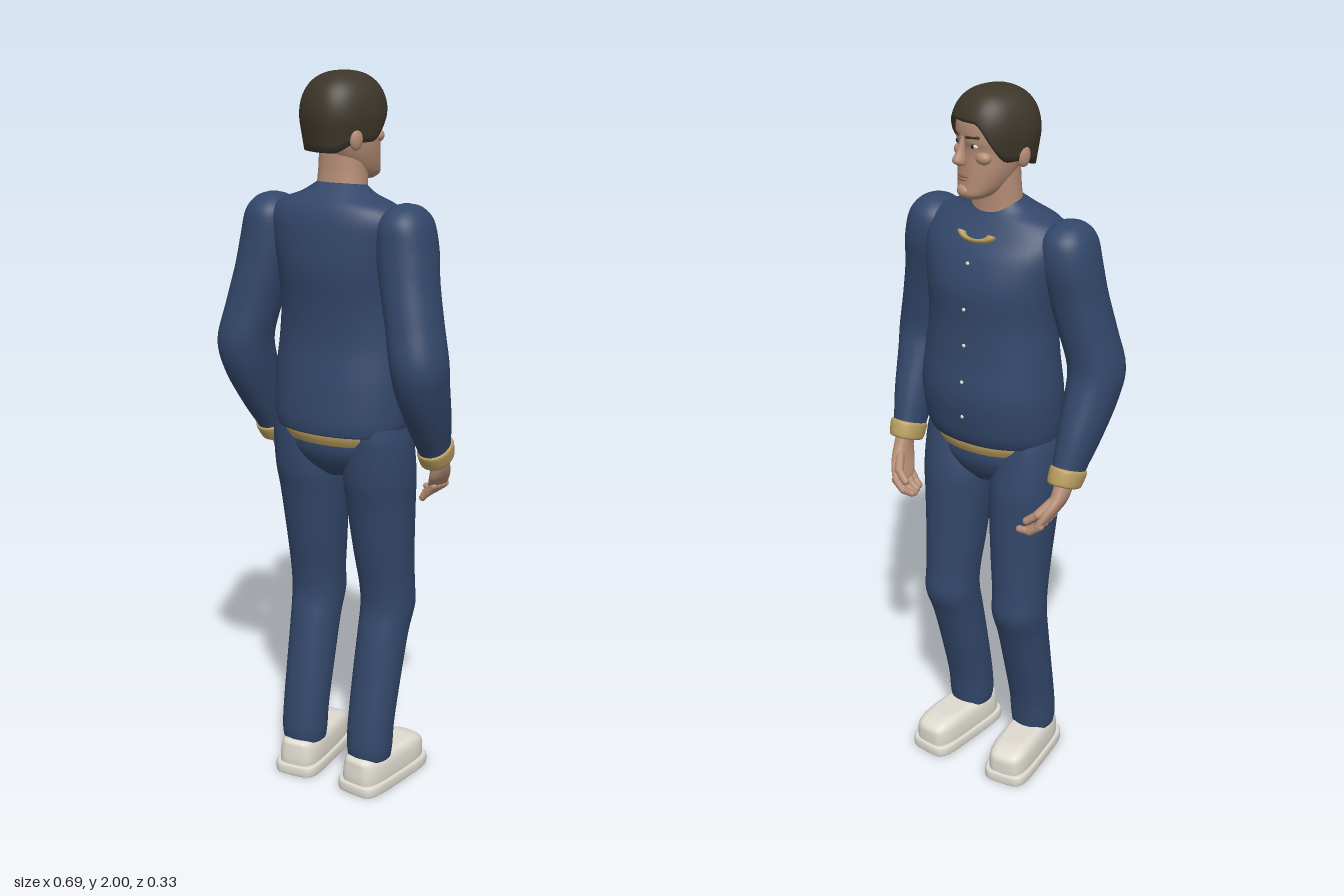
import * as THREE from 'three';

const mat = (name, color, side = THREE.FrontSide) => {
  const m = new THREE.MeshStandardMaterial({ color, side });
  m.name = name;
  return m;
};

// Smooth skin through rows [x, y, z, rx, rz, tilt], listed from top to bottom
function loft(rows, { power = 2.2, segs = 36, steps = 5 } = {}) {
  const fine = [];
  const val = (i, k) => rows[Math.min(Math.max(i, 0), rows.length - 1)][k] ?? 0;
  for (let i = 0; i < rows.length - 1; i++) {
    for (let s = 0; s < steps; s++) {
      const t = s / steps;
      fine.push([0, 1, 2, 3, 4, 5].map((k) => {
        const a = val(i - 1, k), b = val(i, k), c = val(i + 1, k), d = val(i + 2, k);
        return b + 0.5 * t * (c - a + t * (2 * a - 5 * b + 4 * c - d + t * (3 * (b - c) + d - a)));
      }));
    }
  }
  fine.push(rows[rows.length - 1].map((v) => v));
  const first = fine[0], last = fine[fine.length - 1];
  fine.unshift([first[0], first[1], first[2], 0, 0, 0]);
  fine.push([last[0], last[1], last[2], 0, 0, 0]);
  const round = (v) => Math.sign(v) * Math.pow(Math.abs(v), 2 / power);
  return grid(fine.length, segs, (i, a) => {
    const [x, y, z, rx, rz, tilt = 0] = fine[i];
    const dz = rz * round(Math.sin(a));
    return [x + rx * round(Math.cos(a)), y + tilt * dz, z + dz];
  });
}

// Closed rings of points joined into a smooth surface
function grid(rings, segs, point) {
  const pos = [], index = [];
  for (let i = 0; i < rings; i++) {
    for (let j = 0; j < segs; j++) {
      pos.push(...point(i, (j / segs) * Math.PI * 2));
      if (i === rings - 1) continue;
      const a = i * segs + j, b = i * segs + ((j + 1) % segs);
      index.push(a, b, a + segs, b, b + segs, a + segs);
    }
  }
  const g = new THREE.BufferGeometry();
  g.setAttribute('position', new THREE.Float32BufferAttribute(pos, 3));
  g.setIndex(index);
  g.computeVertexNormals();
  return g;
}

// Centred rows from [y, rx, zMin, zMax]
const body = (list) => list.map(([y, rx, a, b]) => [0, y, (a + b) / 2, rx, Math.abs(b - a) / 2]);

export function createModel() {
  const navy = mat('navy cloth', 0x33476a);
  const tan = mat('tan trim', 0xb99d60);
  const skin = mat('skin', 0xb48c75);
  const hairMat = mat('dark brown hair', 0x3d362a, THREE.DoubleSide);
  const white = mat('off white leather', 0xdedad0);
  const dark = mat('dark iris', 0x2a2018);
  const lip = mat('lips', 0x9a6658);

  const model = new THREE.Group();
  model.name = 'standingMan';
  const add = (parent, name, geo, material) => {
    const m = new THREE.Mesh(geo, material);
    m.name = name;
    parent.add(m);
    return m;
  };
  const ball = (parent, name, material, p, s) => {
    const m = add(parent, name, new THREE.SphereGeometry(1, 20, 14), material);
    m.position.set(...p);
    m.scale.set(...s);
    return m;
  };
  const capsule = (parent, name, material, from, to, r) => {
    const a = new THREE.Vector3(...from), b = new THREE.Vector3(...to), d = b.clone().sub(a);
    const m = add(parent, name, new THREE.CapsuleGeometry(r, d.length(), 5, 10), material);
    m.position.copy(a).add(b).multiplyScalar(0.5);
    m.quaternion.setFromUnitVectors(new THREE.Vector3(0, 1, 0), d.normalize());
    return m;
  };

  // Jacket, waist and seat
  add(model, 'jacket', loft(body([
    [1.72, 0.06, -0.025, 0.075], [1.69, 0.105, -0.035, 0.11], [1.665, 0.17, -0.05, 0.13],
    [1.63, 0.2, -0.075, 0.143], [1.58, 0.2, -0.11, 0.15], [1.5, 0.187, -0.135, 0.153],
    [1.4, 0.18, -0.133, 0.14], [1.3, 0.19, -0.14, 0.136], [1.2, 0.2, -0.152, 0.15],
    [1.1, 0.197, -0.138, 0.16], [1.06, 0.188, -0.122, 0.157],
  ]), { segs: 48 }), navy);
  add(model, 'jacketLining', loft(body([
    [1.075, 0.175, -0.118, 0.15], [1.05, 0.172, -0.117, 0.148], [1.028, 0.16, -0.108, 0.138],
  ])), tan);
  add(model, 'trouserSeat', loft(body([
    [1.04, 0.16, -0.1, 0.13], [1.0, 0.165, -0.1, 0.125], [0.96, 0.12, -0.085, 0.105],
    [0.925, 0.04, -0.06, 0.075],
  ])), navy);

  // Collar trim and buttons
  const collar = add(model, 'collarTrim', new THREE.TorusGeometry(0.045, 0.012, 10, 24, Math.PI), tan);
  collar.position.set(0, 1.637, -0.074);
  collar.rotation.set(0.6, 0, Math.PI);
  collar.scale.set(1, 0.45, 1);
  for (const [y, z] of [[1.57, -0.117], [1.45, -0.136], [1.35, -0.137], [1.25, -0.148], [1.15, -0.148]]) {
    ball(model, 'button', white, [0, y, z], [0.005, 0.005, 0.004]);
  }

  // One side of limbs, mirrored for the other
  for (const side of [1, -1]) {
    const limbs = new THREE.Group();
    limbs.name = side > 0 ? 'leftLimbs' : 'rightLimbs';
    limbs.scale.x = side;
    model.add(limbs);

    add(limbs, 'sleeve', loft([
      [0.205, 1.677, 0.04, 0.012, 0.014], [0.205, 1.665, 0.04, 0.042, 0.05], [0.205, 1.63, 0.04, 0.068, 0.08],
      [0.212, 1.56, 0.042, 0.077, 0.086], [0.226, 1.48, 0.055, 0.075, 0.082], [0.25, 1.38, 0.07, 0.073, 0.081],
      [0.272, 1.28, 0.082, 0.073, 0.083, -0.1], [0.272, 1.2, 0.06, 0.066, 0.077, -0.3],
      [0.267, 1.1, 0.01, 0.053, 0.063, -0.4], [0.262, 1.03, -0.025, 0.042, 0.05, -0.4],
      [0.26, 0.99, -0.042, 0.038, 0.045, -0.4],
    ]), navy);
    add(limbs, 'cuff', loft([
      [0.262, 1.022, -0.029, 0.042, 0.05, -0.4], [0.262, 1.015, -0.033, 0.046, 0.054, -0.4],
      [0.26, 0.985, -0.048, 0.043, 0.05, -0.4], [0.26, 0.978, -0.051, 0.038, 0.044, -0.4],
    ]), tan);

    // Hand with curled fingers
    add(limbs, 'palm', loft([
      [0.26, 1.0, -0.045, 0.024, 0.032], [0.26, 0.96, -0.064, 0.022, 0.036],
      [0.25, 0.925, -0.082, 0.02, 0.046], [0.235, 0.895, -0.1, 0.016, 0.046, 0.15],
      [0.226, 0.88, -0.105, 0.01, 0.038, 0.15],
    ]), skin);
    for (let i = 0; i < 4; i++) {
      const z = -0.068 - i * 0.022;
      const y = 0.893 - i * 0.003;
      const knuckle = [0.22 - i * 0.004, y - 0.022, z - 0.004];
      capsule(limbs, 'fingerBase', skin, [0.238, y, z], knuckle, 0.0115);
      capsule(limbs, 'fingerTip', skin, knuckle, [0.202 - i * 0.008, 0.852 + (i === 3 ? 0.01 : 0), z - 0.006], 0.01);
    }
    capsule(limbs, 'thumbBase', skin, [0.25, 0.945, -0.095], [0.228, 0.915, -0.13], 0.013);
    capsule(limbs, 'thumbTip', skin, [0.228, 0.915, -0.13], [0.2, 0.893, -0.14], 0.011);

    // Trouser leg
    add(limbs, 'trouserLeg', loft([
      [0.12, 1.08, 0.02, 0.07, 0.098], [0.118, 1.03, 0.015, 0.083, 0.103], [0.11, 0.93, 0.002, 0.094, 0.108],
      [0.108, 0.85, -0.008, 0.091, 0.1], [0.11, 0.7, -0.023, 0.081, 0.088], [0.114, 0.6, -0.034, 0.075, 0.08],
      [0.115, 0.53, -0.038, 0.074, 0.08], [0.113, 0.45, -0.015, 0.069, 0.074], [0.111, 0.32, 0.016, 0.067, 0.067],
      [0.11, 0.2, 0.042, 0.065, 0.062], [0.11, 0.13, 0.05, 0.064, 0.062], [0.11, 0.095, 0.05, 0.06, 0.058],
    ]), navy);

    // Shoe, toes turned slightly out
    const shoe = new THREE.Group();
    shoe.name = 'shoe';
    shoe.position.set(0.118, 0, -0.014);
    shoe.rotation.y = -0.11;
    limbs.add(shoe);
    add(shoe, 'shoeUpper', loft([
      [0, 0.105, 0.02, 0.038, 0.105], [0, 0.097, 0.01, 0.05, 0.127], [0, 0.08, 0, 0.058, 0.14],
      [0, 0.05, 0, 0.061, 0.143], [0, 0.025, 0, 0.06, 0.142],
    ], { power: 4 }), white);
    add(shoe, 'shoeSole', loft([
      [0, 0.032, 0, 0.064, 0.144], [0, 0.027, 0, 0.069, 0.15], [0, 0.005, 0, 0.069, 0.15], [0, 0, 0, 0.066, 0.147],
    ], { power: 5, steps: 2 }), white);
  }

  // Neck
  add(model, 'neck', loft([
    [0, 1.82, 0.012, 0.064, 0.056], [0, 1.75, 0.015, 0.066, 0.056], [0, 1.7, 0.02, 0.07, 0.058],
    [0, 1.66, 0.025, 0.08, 0.062],
  ]), skin);

  // Head, modelled facing +z then turned
  const head = new THREE.Group();
  head.name = 'head';
  head.position.set(0.004, 0, 0.01);
  head.rotation.y = 2.76;
  model.add(head);
  add(head, 'face', loft(body([
    [1.97, 0.05, -0.06, 0.05], [1.93, 0.083, -0.09, 0.09], [1.88, 0.085, -0.09, 0.096],
    [1.85, 0.082, -0.08, 0.089], [1.8, 0.075, -0.06, 0.093], [1.76, 0.062, -0.03, 0.097],
    [1.735, 0.046, 0, 0.1], [1.722, 0.024, 0.03, 0.086],
  ])), skin);
  add(head, 'nose', loft([
    [0, 1.888, 0.09, 0.007, 0.005], [0, 1.85, 0.099, 0.009, 0.012],
    [0, 1.824, 0.105, 0.015, 0.02], [0, 1.811, 0.097, 0.012, 0.012],
  ], { power: 2, segs: 16 }), skin);
  ball(head, 'upperLip', lip, [0, 1.784, 0.094], [0.022, 0.005, 0.008]);
  ball(head, 'lowerLip', lip, [0, 1.775, 0.094], [0.018, 0.005, 0.009]);
  ball(head, 'chin', skin, [0, 1.744, 0.088], [0.024, 0.018, 0.02]);
  for (const s of [1, -1]) {
    ball(head, 'eye', white, [s * 0.034, 1.864, 0.082], [0.014, 0.007, 0.007]);
    ball(head, 'iris', dark, [s * 0.034, 1.864, 0.086], [0.006, 0.0065, 0.005]);
    capsule(head, 'eyebrow', hairMat, [s * 0.017, 1.885, 0.094], [s * 0.05, 1.888, 0.081], 0.004);
    ball(head, 'ear', skin, [s * 0.086, 1.835, -0.03], [0.013, 0.03, 0.02]);
    ball(head, 'cheekbone', skin, [s * 0.048, 1.835, 0.064], [0.024, 0.018, 0.02]);
  }

  // Hair cap: high over the forehead, sweeping down behind the temples
  const rings = 22, pow = 2.4;
  const round = (v) => Math.sign(v) * Math.pow(Math.abs(v), 2 / pow);
  add(head, 'hair', grid(rings, 64, (i, a) => {
    const front = Math.abs(Math.atan2(Math.cos(a), Math.sin(a)));
    const edge = 1.925 - 0.1 * THREE.MathUtils.smoothstep(front, 0.45, 1.4)
      - 0.025 * THREE.MathUtils.smoothstep(front, 1.7, 2.4);
    const t = Math.min(i / (rings - 2), 1);
    const y = 2 - (2 - edge) * t * t;
    const u = Math.max(0, (y - 1.88) / 0.12);
    let r = Math.pow(Math.max(0, 1 - Math.pow(u, pow)), 1 / pow) - Math.max(0, 1.88 - y) * 1.4;
    if (i === rings - 1) r *= 0.78;
    return [0.099 * r * round(Math.cos(a)), y, -0.006 + 0.114 * r * round(Math.sin(a))];
  }), hairMat);

  return model;
}
